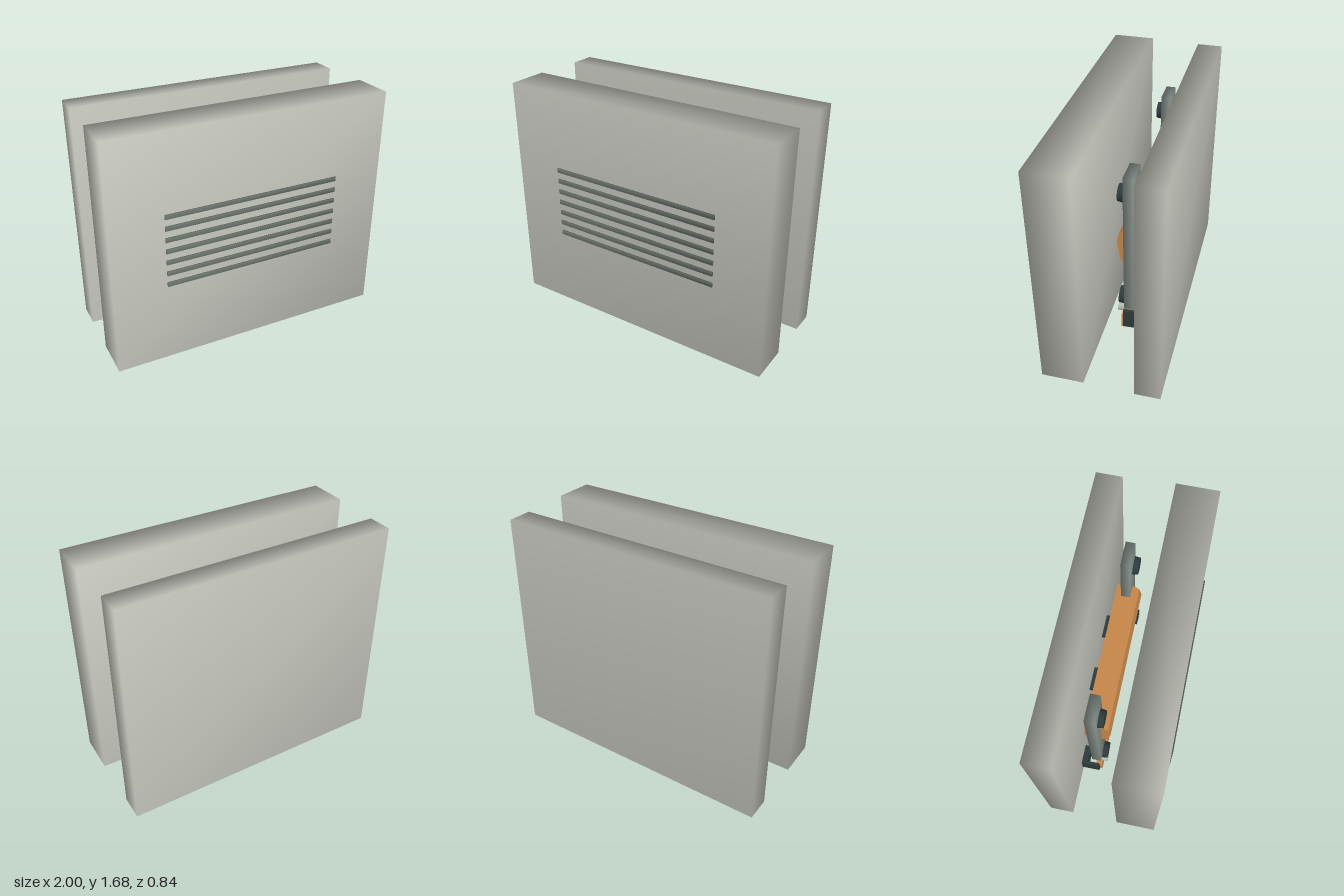
import * as THREE from 'three';
import { mergeVertices } from 'three/addons/utils/BufferGeometryUtils.js';

const material = (name, color) => {
  const m = new THREE.MeshStandardMaterial({ color });
  m.name = name;
  return m;
};

export function createModel() {
  const shellGrey = material('shellGrey', 0xc6c7be);
  const slatGrey = material('slatGrey', 0x6c756e);
  const postGrey = material('postGrey', 0x8a948e);
  const darkTeal = material('darkTeal', 0x2e3a3c);
  const copper = material('copper', 0xc98749);
  const silver = material('silver', 0xb4b8b5);

  const model = new THREE.Group();
  model.name = 'explodedDevice';

  const add = (name, geometry, mat, x = 0, y = 0, z = 0) => {
    const mesh = new THREE.Mesh(geometry, mat);
    mesh.name = name;
    mesh.position.set(x, y, z);
    model.add(mesh);
    return mesh;
  };

  // Box given by its limits; soft boxes share corner normals for pillowy shading
  const box = (name, mat, [x0, x1], [y0, y1], [z0, z1], soft = false) => {
    let g = new THREE.BoxGeometry(x1 - x0, y1 - y0, z1 - z0);
    if (soft) {
      g.deleteAttribute('normal');
      g.deleteAttribute('uv');
      g = mergeVertices(g);
      g.computeVertexNormals();
    }
    return add(name, g, mat, (x0 + x1) / 2, (y0 + y1) / 2, (z0 + z1) / 2);
  };

  // Outer shells
  box('frontShell', shellGrey, [-1, 1], [0.03, 1.682], [0.11, 0.405], true);
  box('backShell', shellGrey, [-0.99, 0.985], [0, 1.675], [-0.42, -0.24], true);

  // Grille slats floating just off the front shell
  for (let i = 0; i < 7; i++) {
    const y = 0.625 + i * 0.0825;
    box('grilleSlat', slatGrey, [-0.63, 0.63], [y - 0.016, y + 0.016], [0.415, 0.423], true);
  }

  // Bulging core, profile in (z, y), run along x
  const profile = [
    [-0.012, 0.92], [-0.035, 0.77], [-0.09, 0.72], [-0.205, 0.755],
    [-0.19, 1.015], [-0.06, 1.02], [-0.03, 0.99],
  ].map(([z, y]) => new THREE.Vector2(z, y));
  const core = new THREE.ExtrudeGeometry(new THREE.Shape(profile), { depth: 1.08, bevelEnabled: false });
  core.translate(0, 0, -0.54).rotateY(-Math.PI / 2);
  add('core', core, copper);

  // Lower copper strip
  box('lowerStrip', copper, [-0.655, 0.655], [0.272, 0.38], [-0.115, -0.068]);

  // Mirrored posts, feet, buttons, pins and clips
  for (const s of [-1, 1]) {
    const span = (a, b) => (s > 0 ? [a, b] : [-b, -a]);
    box('post', postGrey, span(0.45, 0.63), [0.42, 1.477], [-0.147, -0.08], true);
    box('footSide', darkTeal, span(0.655, 0.678), [0.3, 0.44], [-0.215, -0.085]);
    box('footBack', darkTeal, span(0.54, 0.66), [0.3, 0.44], [-0.215, -0.17]);
    box('clip', darkTeal, span(0.12, 0.28), [0.99, 1.02], [-0.213, -0.19]);

    for (const y of [1.32, 0.473]) {
      const button = new THREE.CylinderGeometry(0.058, 0.062, 0.038, 16).rotateX(Math.PI / 2);
      add('button', button, darkTeal, s * 0.55, y, -0.055);
    }
    const pin = new THREE.CylinderGeometry(0.03, 0.03, 0.04, 12).rotateX(Math.PI / 2);
    add('pin', pin, silver, s * 0.59, 0.4, -0.055);
  }

  return model;
}
